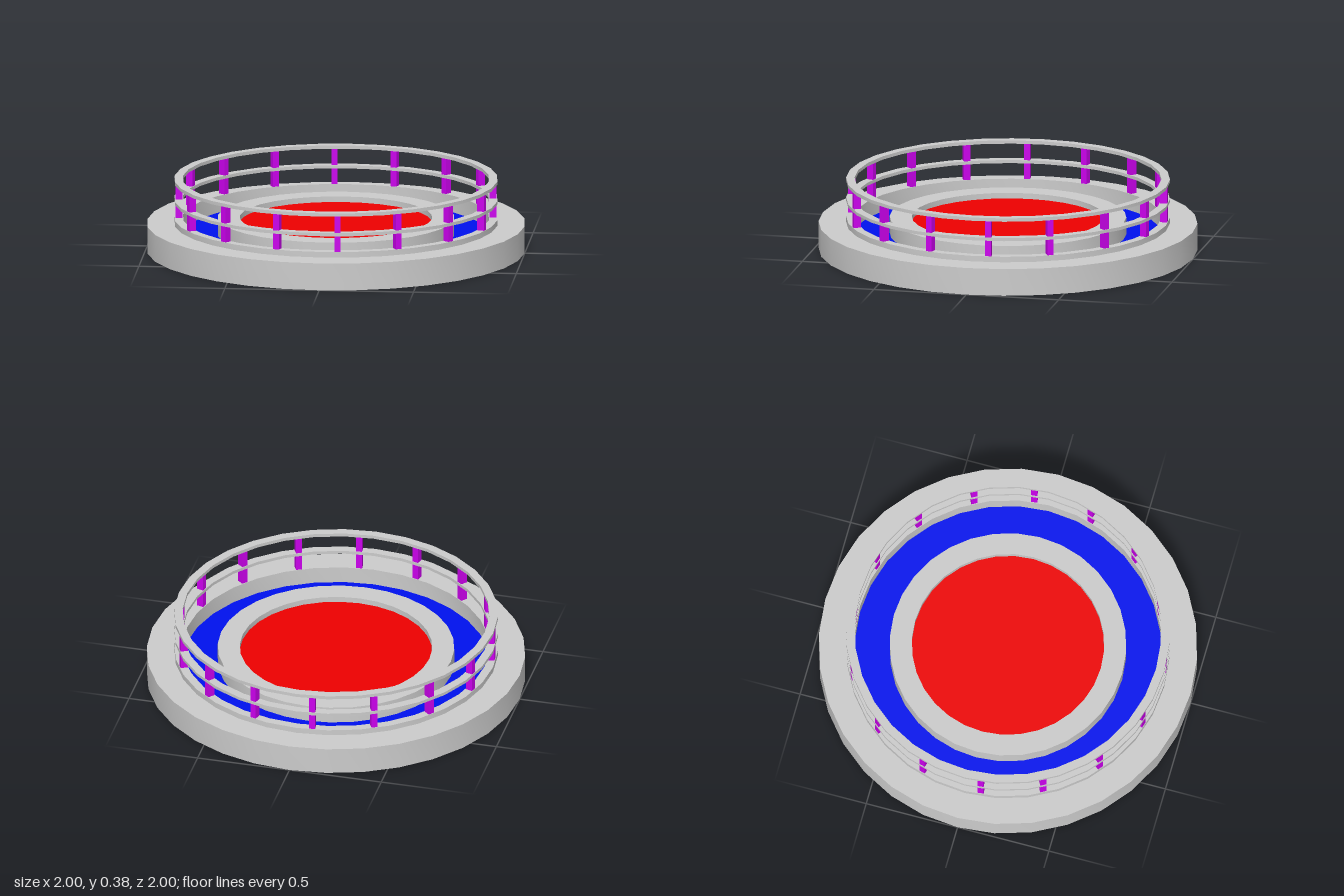
import * as THREE from 'three';
import { toCreasedNormals } from 'three/addons/utils/BufferGeometryUtils.js';

const SIDES = 32;
const POSTS = 16;

export function createModel() {
  const model = new THREE.Group();
  model.name = 'railedRoundPlatform';

  const material = (color) => new THREE.MeshStandardMaterial({ color, side: THREE.DoubleSide });
  const grey = material(0xcccccc);
  const blue = material(0x0011ee);
  const red = material(0xee0000);
  const purple = material(0xcc00ee);

  // Turns a profile of [radius, height] pairs about the y axis, keeping its corners sharp
  function turned(name, profile, mat) {
    const points = profile.map(([r, y]) => new THREE.Vector2(r, y));
    const geometry = toCreasedNormals(new THREE.LatheGeometry(points, SIDES), 0.5);
    const mesh = new THREE.Mesh(geometry, mat);
    mesh.name = name;
    model.add(mesh);
  }

  // Outer base with its raised kerb, open underneath
  turned('base', [[1, 0], [1, 0.145], [0.855, 0.145], [0.855, 0.175], [0.81, 0.175], [0.81, 0.085]], grey);

  // Sunken channel floor
  turned('channelFloor', [[0.81, 0.085], [0.625, 0.085]], blue);

  // Raised inner ring around the centre
  turned('innerRing', [[0.625, 0.085], [0.625, 0.175], [0.508, 0.175], [0.508, 0.145]], grey);

  // Centre disc
  const disc = new THREE.Mesh(new THREE.CircleGeometry(0.508, SIDES), red);
  disc.name = 'centreDisc';
  disc.rotation.x = -Math.PI / 2;
  disc.position.y = 0.145;
  model.add(disc);

  // Two closed square-section rails
  const rail = (name, low, high) =>
    turned(name, [[0.81, low], [0.855, low], [0.855, high], [0.81, high], [0.81, low]], grey);
  rail('middleRail', 0.26, 0.277);
  rail('topRail', 0.366, 0.384);

  // Posts, each centred on every other side of the rail
  const posts = new THREE.Group();
  posts.name = 'railPosts';
  const bottom = 0.173, top = 0.37;
  const postGeometry = new THREE.BoxGeometry(0.033, top - bottom, 0.038);
  for (let i = 0; i < POSTS; i++) {
    const angle = ((i + 0.25) / POSTS) * Math.PI * 2;
    const post = new THREE.Mesh(postGeometry, purple);
    post.name = 'railPost';
    post.position.set(Math.sin(angle) * 0.829, (bottom + top) / 2, Math.cos(angle) * 0.829);
    post.rotation.y = angle;
    posts.add(post);
  }
  model.add(posts);

  return model;
}
